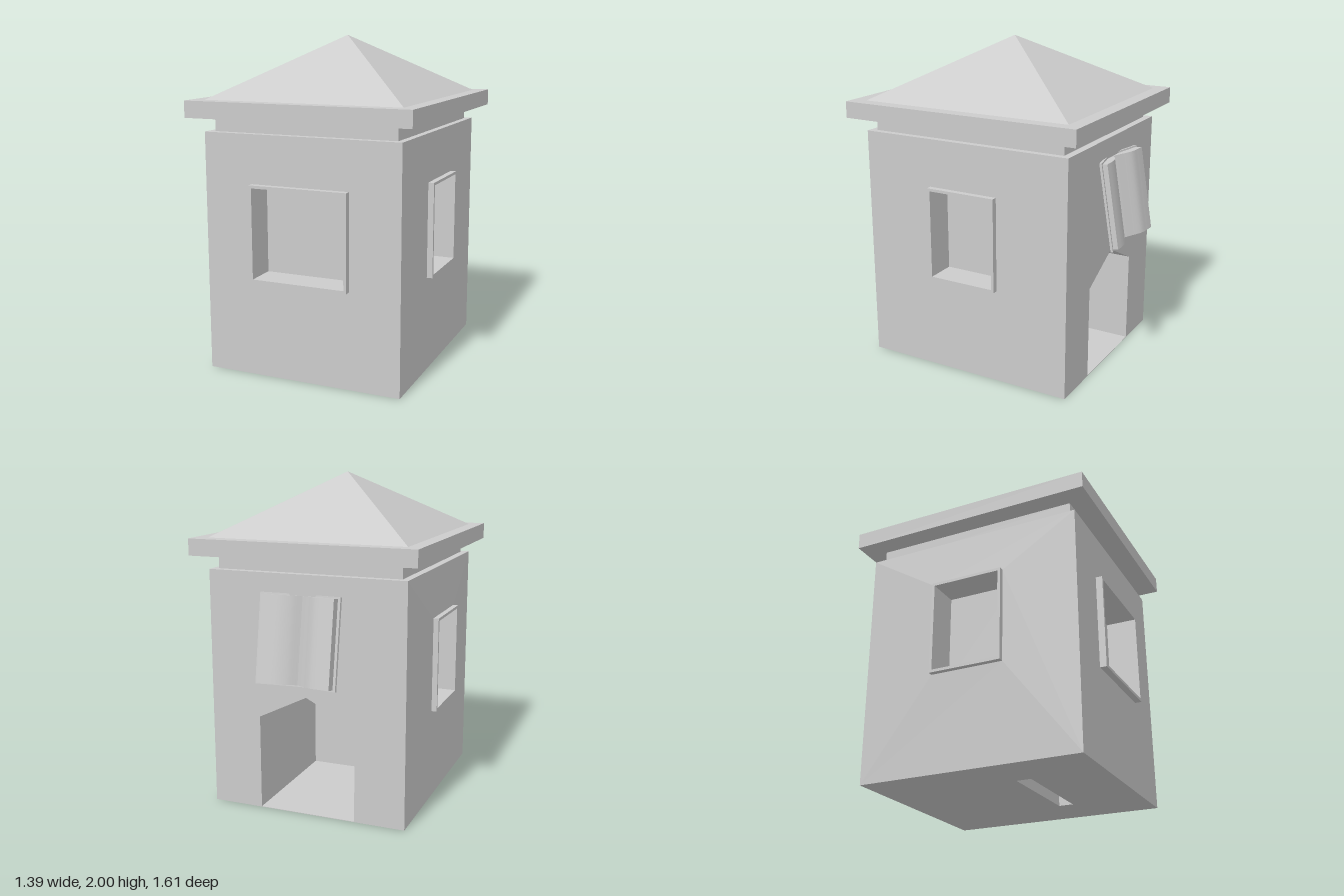
import * as THREE from 'three';

const material = new THREE.MeshStandardMaterial({ color: 0xcccccc, flatShading: true });
const smoothMaterial = new THREE.MeshStandardMaterial({ color: 0xcccccc });

const X0 = -0.615, X1 = 0.61, Z0 = -0.63, Z1 = 0.725, H = 1.45;

const pts = (list) => list.map(([x, y]) => new THREE.Vector2(x, y));
const rect = (x0, y0, x1, y1) => pts([[x0, y0], [x1, y0], [x1, y1], [x0, y1]]);
const gable = (x0, y0, x1, y1, peak) =>
  pts([[x0, y0], [x1, y0], [x1, y1], [(x0 + x1) / 2, peak], [x0, y1]]);

function shapeOf(outline, hole) {
  const shape = new THREE.Shape(outline);
  if (hole) shape.holes.push(new THREE.Path(hole));
  return shape;
}

function add(parent, name, geometry, mat = material) {
  const mesh = new THREE.Mesh(geometry, mat);
  mesh.name = name;
  parent.add(mesh);
  return mesh;
}

// A lined recess: a ring running from behind the wall to its rim, closed at the back
function addRecess(parent, name, outer, inner, depth, rim) {
  const lining = new THREE.ExtrudeGeometry(shapeOf(outer, inner), { depth: depth + rim, bevelEnabled: false });
  lining.translate(0, 0, -depth);
  add(parent, name, lining);
  add(parent, name + 'Back', new THREE.ShapeGeometry(shapeOf(outer)).translate(0, 0, -depth));
}

// A box given by its limits on each axis
function block(x0, x1, y0, y1, z0, z1) {
  return new THREE.BoxGeometry(x1 - x0, y1 - y0, z1 - z0)
    .translate((x0 + x1) / 2, (y0 + y1) / 2, (z0 + z1) / 2);
}

// A wall with a framed window niche; bulge pushes the wall out around the window
function windowWall(name, w0, w1, x0, x1, rim, bulge = 0) {
  const wall = new THREE.Group();
  wall.name = name;
  const y0 = 0.585, y1 = 1.16, t = 0.017;
  const frame = rect(x0, y0, x1, y1);
  const face = new THREE.ShapeGeometry(shapeOf(rect(w0, 0, w1, H), frame));
  const p = face.attributes.position;
  for (let i = 0; i < p.count; i++) {
    if (p.getX(i) > w0 + 0.01 && p.getX(i) < w1 - 0.01) p.setZ(i, bulge);
  }
  face.computeVertexNormals();
  add(wall, name + 'Face', face);
  addRecess(wall, name + 'WindowFrame', frame, rect(x0 + t, y0 + t, x1 - t, y1 - t), 0.15, rim);
  return wall;
}

// Open book mounted above the doorway; profiles are in x and distance from the wall
function createBook() {
  const book = new THREE.Group();
  book.name = 'openBook';
  const slab = (shape, height) =>
    new THREE.ExtrudeGeometry(shape, { depth: height, bevelEnabled: false, curveSegments: 10 })
      .translate(0, 0, -height / 2).rotateX(-Math.PI / 2);

  const cover = shapeOf(pts([
    [-0.245, 0.062], [-0.03, 0], [0.04, 0], [0.26, 0.052],
    [0.258, 0.066], [0.035, 0.013], [-0.025, 0.013], [-0.242, 0.076],
  ]));
  add(book, 'bookCover', slab(cover, 0.53));

  const pages = new THREE.Shape();
  pages.moveTo(-0.225, 0.07);
  pages.lineTo(-0.025, 0.013);
  pages.lineTo(0.035, 0.013);
  pages.lineTo(0.24, 0.06);
  pages.lineTo(0.238, 0.092);
  pages.splineThru(pts([[0.18, 0.093], [0.12, 0.084], [0.06, 0.06], [0.01, 0.025]]));
  pages.splineThru(pts([[-0.04, 0.062], [-0.1, 0.102], [-0.16, 0.113], [-0.22, 0.118]]));
  add(book, 'bookPages', slab(pages, 0.51));

  book.position.set(0, 1.071, -0.6465);
  book.rotation.x = 0.165;
  return book;
}

export function createModel() {
  const model = new THREE.Group();
  model.name = 'smallHouse';

  // Front and side walls
  const front = windowWall('frontWall', X0, X1, -0.31, 0.30, 0.04);
  front.position.z = Z1;
  const left = windowWall('leftWall', -Z1, -Z0, -0.275, 0.175, 0.035);
  left.rotation.y = Math.PI / 2;
  left.position.x = X1;
  const right = windowWall('rightWall', Z0, Z1, -0.175, 0.275, 0.05, 0.018);
  right.rotation.y = -Math.PI / 2;
  right.position.x = X0;

  // Back wall with a gabled doorway
  const back = new THREE.Group();
  back.name = 'backWall';
  const d0 = -0.30, d1 = 0.31, e = 0.003;
  const outline = pts([
    [-X1, 0], [d0, 0], [d0, 0.58], [(d0 + d1) / 2, 0.73], [d1, 0.58], [d1, 0],
    [-X0, 0], [-X0, H], [-X1, H],
  ]);
  add(back, 'backWallFace', new THREE.ShapeGeometry(shapeOf(outline)));
  addRecess(back, 'doorway', gable(d0, 0, d1, 0.58, 0.73),
    gable(d0 + e, e, d1 - e, 0.58 - e, 0.73 - e), 0.825, 0);
  back.rotation.y = Math.PI;
  back.position.z = Z0;

  // Underside with a slot, and the ledge on top of the walls
  const base = new THREE.Group();
  base.name = 'underside';
  const slot = rect(-0.31, 0.2, 0.30, 0.295);
  add(base, 'undersideFace', new THREE.ShapeGeometry(shapeOf(rect(X0, Z0, X1, Z1), slot)));
  addRecess(base, 'slot', slot, rect(-0.31 + e, 0.2 + e, 0.30 - e, 0.295 - e), 0.55, 0);
  base.rotation.x = Math.PI / 2;
  const ledge = add(model, 'wallTop', new THREE.ShapeGeometry(shapeOf(rect(X0, -Z1, X1, -Z0))));
  ledge.rotation.x = -Math.PI / 2;
  ledge.position.y = H;

  model.add(front, left, right, back, base, createBook());

  // Roof: neck, overhanging slab and four-sided pyramid
  add(model, 'roofNeck', block(-0.57, 0.57, H, 1.535, -0.585, 0.68));
  add(model, 'roofSlab', block(-0.695, 0.695, 1.535, 1.635, -0.715, 0.81));
  const pyramid = new THREE.ConeGeometry(Math.SQRT1_2, 0.365, 4, 1, true)
    .rotateY(Math.PI / 4).scale(1.225, 1, 1.35).translate(0, 1.8175, 0.045);
  pyramid.computeVertexNormals();
  add(model, 'roofPyramid', pyramid);

  return model;
}
